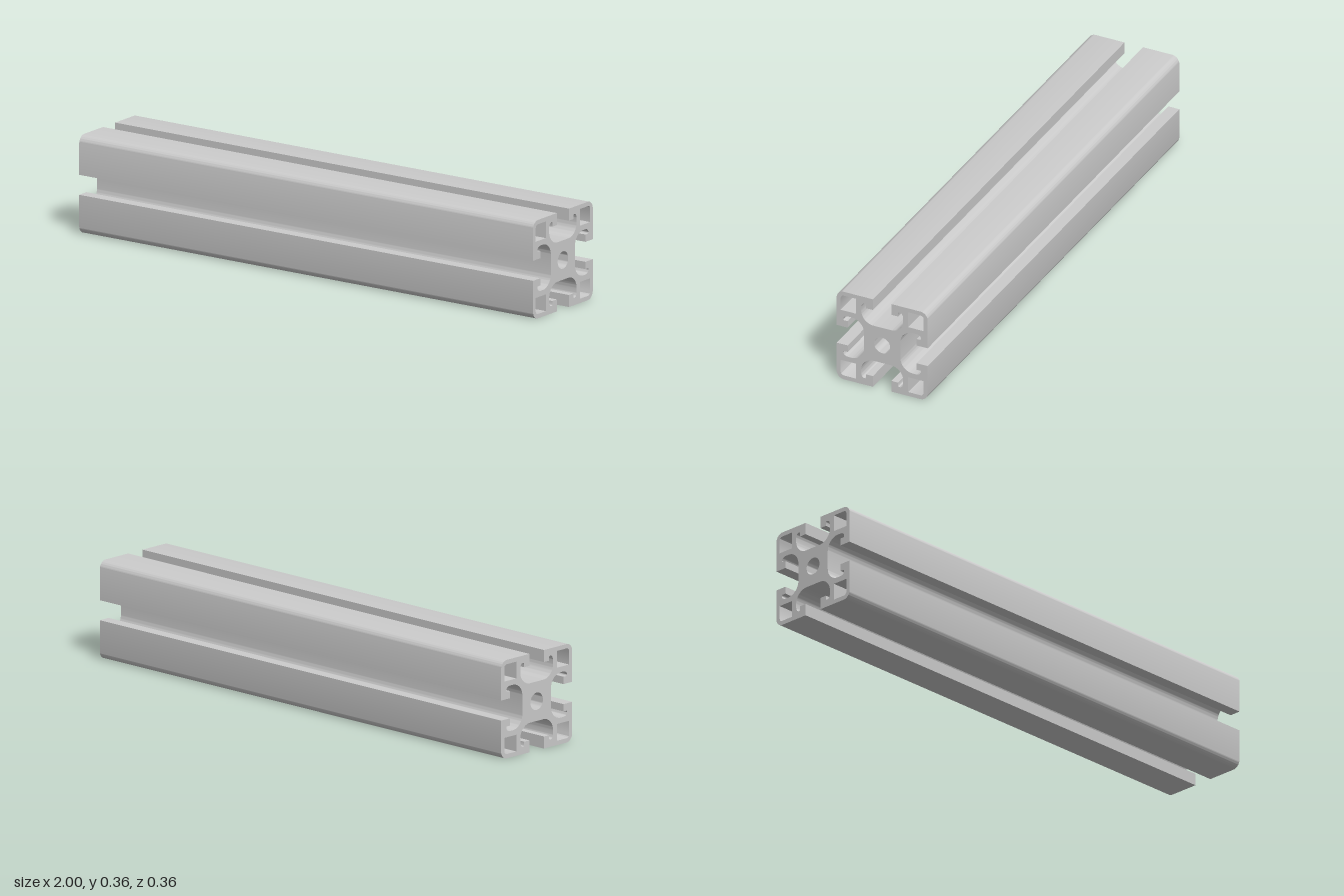
import * as THREE from 'three';
import { toCreasedNormals } from 'three/addons/utils/BufferGeometryUtils.js';

const LENGTH = 2;
const HALF = 0.182; // half of the square section
const ROUND = 0.03; // outer corner radius
const CORE = 0.073; // half width of the solid core

// Half of one T-slot, from the slot centre out to the rounded corner
function halfSlot() {
  const p = new THREE.Path();
  p.moveTo(0.034, CORE);
  p.absarc(0.034, CORE + 0.05, 0.05, -Math.PI / 2, 0, false); // channel floor
  p.lineTo(0.084, 0.134);
  p.bezierCurveTo(0.084, 0.147, 0.078, 0.155, 0.07, 0.155); // undercut
  p.quadraticCurveTo(0.064, 0.155, 0.064, 0.151);
  p.lineTo(0.064, 0.1375);
  p.lineTo(0.037, 0.1375); // lip
  p.lineTo(0.037, HALF);
  p.lineTo(HALF - ROUND, HALF);
  p.absarc(HALF - ROUND, HALF - ROUND, ROUND, Math.PI / 2, Math.PI / 4, true); // half corner
  return p.getPoints(10);
}

// Four identical sides, each a mirrored pair of half slots
function profile() {
  const half = halfSlot();
  const mirrored = half.map((p) => new THREE.Vector2(-p.x, p.y));
  const side = [...half].reverse().concat(mirrored.slice(0, -1));
  const origin = new THREE.Vector2();
  const outline = [];
  for (let i = 0; i < 4; i++) {
    for (const p of side) outline.push(p.clone().rotateAround(origin, (i * Math.PI) / 2));
  }
  const shape = new THREE.Shape(outline);

  // Central bore
  const bore = new THREE.Path();
  bore.absarc(0, 0, 0.032, 0, Math.PI * 2, true);
  shape.holes.push(bore);

  // Corner chambers, rounded only at the outer corner
  const a = 0.104, b = 0.166, r = 0.015;
  for (const sx of [-1, 1]) {
    for (const sy of [-1, 1]) {
      const h = new THREE.Path();
      h.moveTo(sx * a, sy * a);
      h.lineTo(sx * b, sy * a);
      h.lineTo(sx * b, sy * (b - r));
      h.quadraticCurveTo(sx * b, sy * b, sx * (b - r), sy * b);
      h.lineTo(sx * a, sy * b);
      h.closePath();
      shape.holes.push(h);
    }
  }
  return shape;
}

export function createModel() {
  const group = new THREE.Group();
  group.name = 'slottedProfileBar';

  const extruded = new THREE.ExtrudeGeometry(profile(), {
    depth: LENGTH, bevelEnabled: false, curveSegments: 20,
  });
  extruded.translate(0, 0, -LENGTH / 2);
  extruded.rotateY(Math.PI / 2);

  const bar = new THREE.Mesh(
    toCreasedNormals(extruded, Math.PI / 5),
    new THREE.MeshStandardMaterial({ color: 0xcccccc })
  );
  bar.name = 'slottedBar';
  bar.position.y = HALF;
  group.add(bar);
  return group;
}
